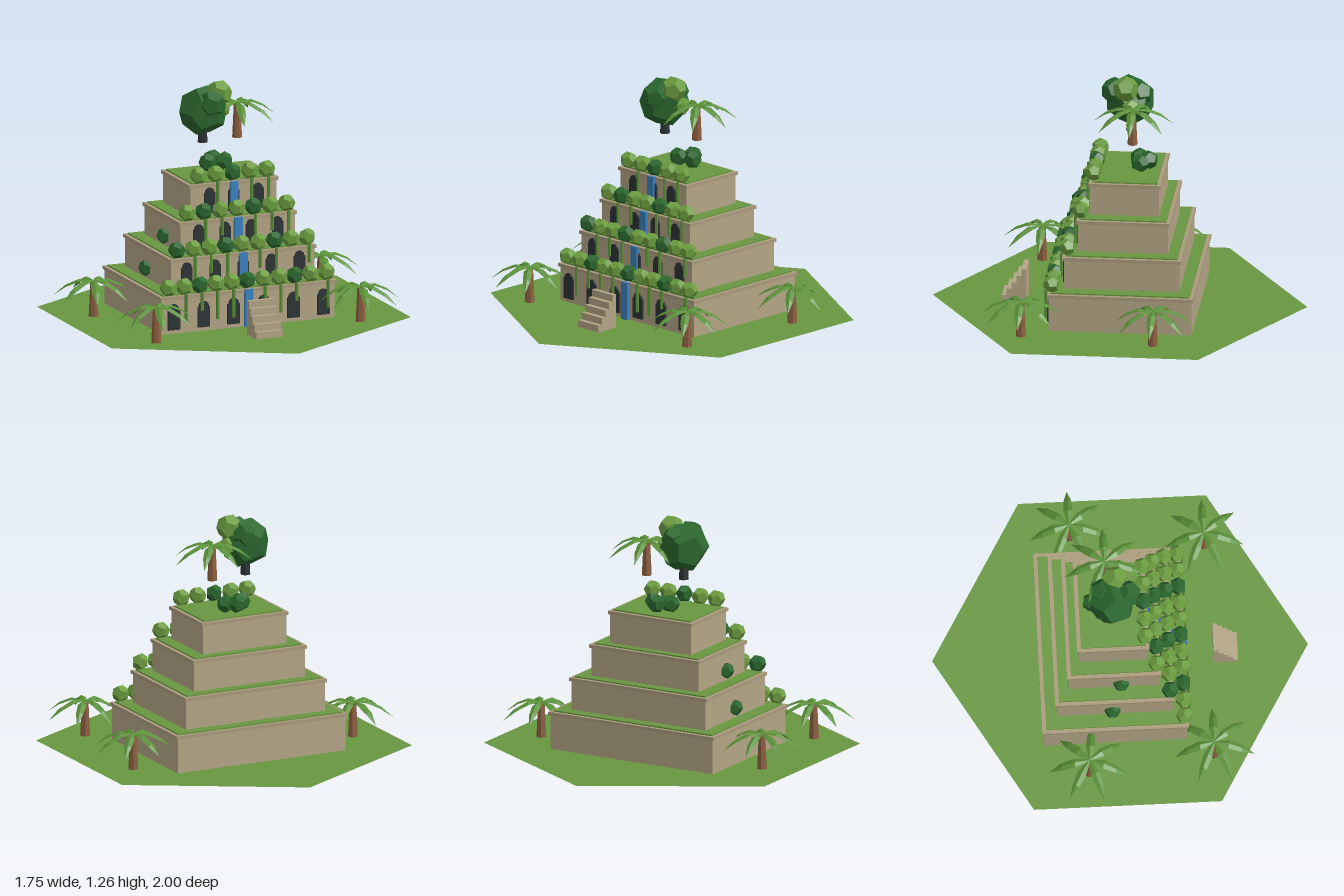
import * as THREE from 'three';

const paint = (name, color, extra = {}) =>
  new THREE.MeshStandardMaterial({ name, color, flatShading: true, ...extra });

export function createModel() {
  const model = new THREE.Group();
  model.name = 'terracedGarden';

  const grass = paint('grass green', 0x689640, { side: THREE.DoubleSide });
  const stone = paint('sandstone', 0xb3a585);
  const trim = paint('trim stone', 0xa99a7b);
  const lightLeaf = paint('light foliage', 0x6b9c3f);
  const darkLeaf = paint('dark foliage', 0x2a662d);
  const palmLeaf = paint('palm green', 0x5a9038, { side: THREE.DoubleSide });
  const bark = paint('palm bark', 0x8c6040);
  const shade = paint('dark opening', 0x2c3234);
  const water = paint('water blue', 0x3a80bd);

  const add = (parent, name, geometry, material, x = 0, y = 0, z = 0) => {
    const mesh = new THREE.Mesh(geometry, material);
    mesh.name = name;
    mesh.position.set(x, y, z);
    parent.add(mesh);
    return mesh;
  };
  const box = (parent, name, w, h, d, material, x, yBottom, z) =>
    add(parent, name, new THREE.BoxGeometry(w, h, d), material, x, yBottom + h / 2, z);
  const blob = (parent, name, r, material, x, y, z, turn = 0) => {
    const b = add(parent, name, new THREE.DodecahedronGeometry(r, 0), material, x, y, z);
    b.rotation.y = turn;
    return b;
  };

  // Hexagonal lawn with points toward the front and back
  const lawn = new THREE.CircleGeometry(1, 6, Math.PI / 2);
  lawn.rotateX(-Math.PI / 2);
  add(model, 'lawn', lawn, grass);

  // Arched opening: a door slab with a narrower round head
  const arch = (parent, w, x, y, z) => {
    const g = new THREE.Group();
    g.name = 'archedOpening';
    g.position.set(x, y, z);
    box(g, 'doorSlab', w, 0.11, 0.016, shade, 0, 0, 0);
    const head = add(g, 'archHead', new THREE.CylinderGeometry(w * 0.42, w * 0.42, 0.016, 12), shade, 0, 0.112, 0);
    head.rotation.x = Math.PI / 2;
    parent.add(g);
  };

  // Four shrinking terraces
  const cx = -0.004, cz = -0.048;
  const tiers = [
    { w: 1.02, d: 0.78, y0: 0.0, y1: 0.205, arches: 6, archSpan: 0.433, bushes: 11, bushSpan: 0.457 },
    { w: 0.848, d: 0.635, y0: 0.205, y1: 0.388, arches: 5, archSpan: 0.326, bushes: 9, bushSpan: 0.377 },
    { w: 0.68, d: 0.5, y0: 0.388, y1: 0.567, arches: 4, archSpan: 0.228, bushes: 7, bushSpan: 0.288 },
    { w: 0.516, d: 0.385, y0: 0.567, y1: 0.75, arches: 3, archSpan: 0.14, bushes: 5, bushSpan: 0.197 },
  ];
  tiers.forEach((t, k) => {
    const tier = new THREE.Group();
    tier.name = 'terrace' + (k + 1);
    model.add(tier);
    const front = cz + t.d / 2 - 0.009;
    box(tier, 'wall', t.w - 0.018, t.y1 - t.y0 - 0.015, t.d - 0.018, stone, cx, t.y0, cz);
    box(tier, 'cornice', t.w, 0.018, t.d, trim, cx, t.y1 - 0.018, cz);
    box(tier, 'planting', t.w - 0.042, 0.01, t.d - 0.042, grass, cx, t.y1 - 0.003, cz);

    for (let i = 0; i < t.arches; i++) {
      const x = cx - t.archSpan + (2 * t.archSpan * i) / (t.arches - 1);
      arch(tier, k ? 0.062 : 0.07, x, t.y0 + 0.022, front + 0.003);
    }

    // Waterfall sheet on this terrace
    box(tier, 'waterfall', 0.045, t.y1 - t.y0, 0.02, water, cx - 0.002, t.y0, front + 0.012);

    // Bushes along the front edge with trailing vines
    const mid = (t.bushes - 1) / 2;
    for (let i = 0; i < t.bushes; i++) {
      const x = cx + t.bushSpan * (i / mid - 1);
      const dark = (i + 2 * k) % 3 === 2;
      blob(tier, 'bush', 0.047, dark ? darkLeaf : lightLeaf, x, t.y1 + 0.045, front - 0.012, (i % 3) * 0.25);
      if (i === 0 || i === mid || (i === t.bushes - 2 && k < 2)) continue;
      const len = i % 3 === 2 ? 0.1 : 0.155;
      const vine = new THREE.CylinderGeometry(0.009, 0.009, len, 6);
      add(tier, 'vine', vine, palmLeaf, x, t.y1 + 0.01 - len / 2, front + 0.016);
    }
  });

  // Dark shrubs on the roof and against the right-hand walls
  [[-0.05, 0.8, -0.1], [0.0, 0.805, -0.155], [0.045, 0.8, -0.11]]
    .forEach((p, i) => blob(model, 'roofShrub', 0.05, darkLeaf, ...p, i * 0.4));
  blob(model, 'sideShrub', 0.045, darkLeaf, -0.422, 0.27, -0.06);
  blob(model, 'sideShrub', 0.045, darkLeaf, -0.338, 0.45, -0.01);

  // Front steps, each block reaching the ground
  const steps = new THREE.Group();
  steps.name = 'frontSteps';
  model.add(steps);
  for (let i = 0; i < 5; i++)
    box(steps, 'step', 0.154, 0.037, 0.13 - i * 0.026, stone, -0.005, i * 0.037, 0.494 + (0.13 - i * 0.026) / 2);

  // Folded palm frond: left edge, ridge and right edge at each station
  const stations = [[0, 0.005, 0], [0.08, 0.024, 0.005], [0.15, 0.02, -0.028], [0.215, 0.001, -0.085]];
  const points = [], faces = [];
  stations.forEach(([r, w, y], i) => {
    points.push(r, y - w * 0.5, -w, r, y, 0, r, y - w * 0.5, w);
    if (i === 0) return;
    for (let s = 0; s < 2; s++) {
      const a = (i - 1) * 3 + s, b = a + 1, c = a + 3, d = a + 4;
      faces.push(a, b, c, b, d, c);
    }
  });
  const frond = new THREE.BufferGeometry();
  frond.setAttribute('position', new THREE.Float32BufferAttribute(points, 3));
  frond.setIndex(faces);
  frond.computeVertexNormals();

  const palm = (x, y, z, turn) => {
    const g = new THREE.Group();
    g.name = 'palm';
    g.position.set(x, y, z);
    g.rotation.y = turn;
    add(g, 'palmTrunk', new THREE.CylinderGeometry(0.018, 0.027, 0.19, 7), bark, 0, 0.095, 0);
    for (let i = 0; i < 7; i++)
      add(g, 'frond', frond, palmLeaf, 0, 0.195, 0).rotation.y = (i * Math.PI * 2) / 7;
    model.add(g);
  };
  palm(-0.67, 0, -0.195, -0.1);
  palm(0.665, 0, -0.24, 0);
  palm(-0.597, 0, 0.472, 0);
  palm(0.587, 0, 0.472, 0);
  palm(0.11, 0.93, -0.078, 0);

  // Broadleaf tree above the roof
  const tree = new THREE.Group();
  tree.name = 'roofTree';
  model.add(tree);
  add(tree, 'treeTrunk', new THREE.CylinderGeometry(0.02, 0.027, 0.13, 7), shade, -0.102, 0.995, -0.05);
  blob(tree, 'crown', 0.135, darkLeaf, -0.102, 1.105, -0.045, 0.3);
  blob(tree, 'crownTop', 0.075, darkLeaf, -0.09, 1.155, 0.035, 0.2);
  blob(tree, 'crownBack', 0.07, darkLeaf, -0.07, 1.155, -0.1, 0.5);
  blob(tree, 'crownLight', 0.07, lightLeaf, -0.015, 1.195, -0.03, 0.1);
  blob(tree, 'crownSide', 0.05, lightLeaf, 0.01, 1.1, -0.06, 0.4);

  return model;
}
